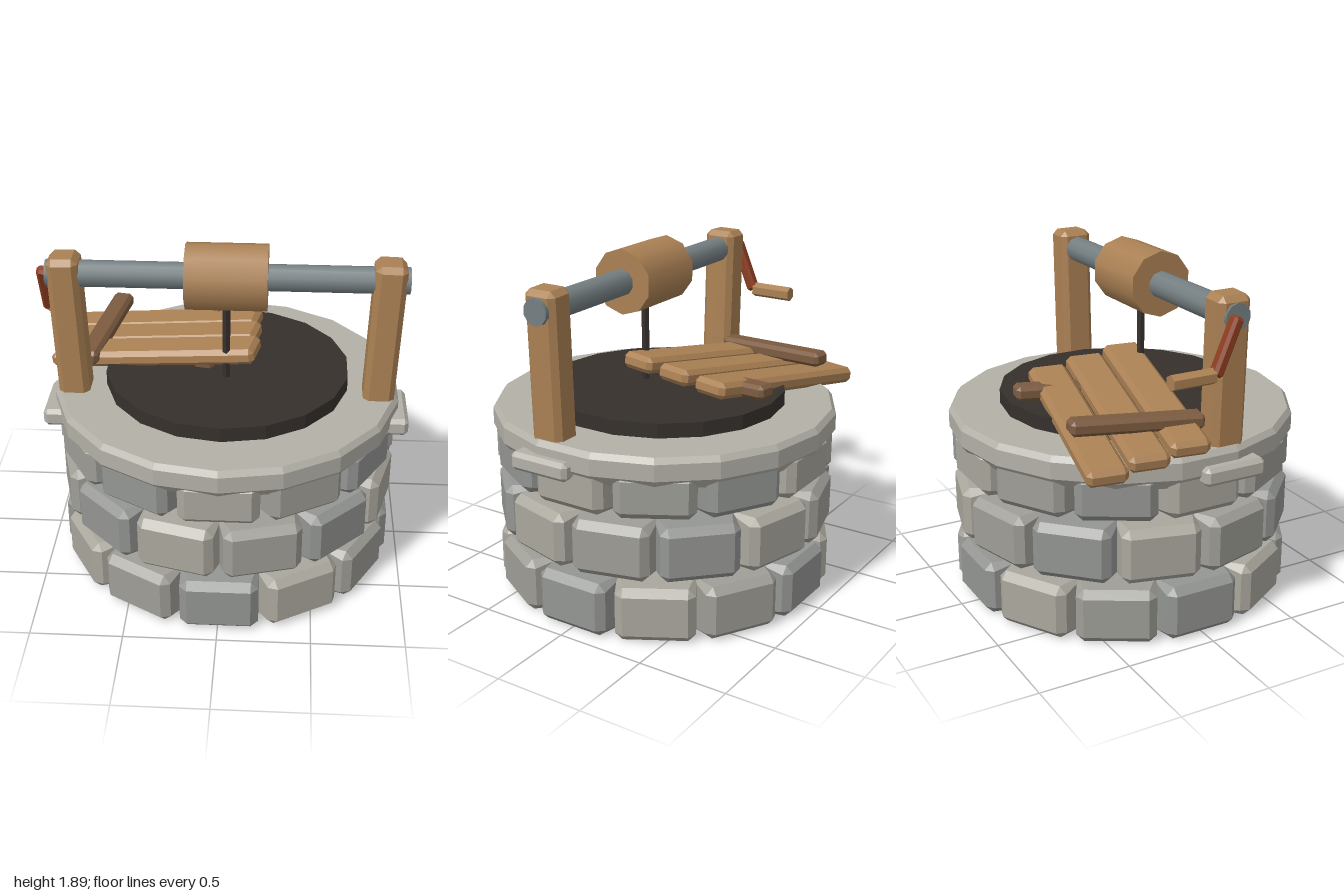
import * as THREE from 'three';
import { ConvexGeometry } from 'three/addons/geometries/ConvexGeometry.js';

const paint = (color, flatShading = true) => new THREE.MeshStandardMaterial({ color, flatShading });
const WOOD = paint(0xab8154), DARK_WOOD = paint(0x7c5b40), RED = paint(0x8c3d1f);
const ROUND_WOOD = paint(0xab8154, false), METAL = paint(0x757f82, false);
const BLACK = paint(0x36302c), SLAB = paint(0xb3b0a7);
const STONES = [paint(0x949693), paint(0xaaa79d), paint(0x9f9e97)];
const V = (x, y, z) => new THREE.Vector3(x, y, z);

// Box with its edges cut off by c; the back (-z) corners can stay square
function chamferBox(w, h, d, c, squareBack = false) {
  const pts = [];
  for (const x of [-w / 2, w / 2]) for (const y of [-h / 2, h / 2]) for (const z of [-d / 2, d / 2]) {
    const cut = squareBack && z < 0 ? 0 : c;
    const cx = Math.sign(x) * cut, cy = Math.sign(y) * cut, cz = Math.sign(z) * cut;
    if (cut) pts.push(V(x, y - cy, z - cz), V(x - cx, y, z - cz), V(x - cx, y - cy, z));
    else pts.push(V(x, y, z));
  }
  return new ConvexGeometry(pts);
}

export function createModel() {
  const model = new THREE.Group();
  model.name = 'well';
  const add = (name, geometry, material, x = 0, y = 0, z = 0) => {
    const m = new THREE.Mesh(geometry, material);
    m.name = name;
    m.position.set(x + 0.007, y, z);
    model.add(m);
    return m;
  };

  // Chamfered bar from a to b; side points along its width
  const bar = (name, a, b, h, w, c, material, side) => {
    const mid = a.clone().add(b).multiplyScalar(0.5);
    const m = add(name, chamferBox(a.distanceTo(b), h, w, c), material, mid.x, mid.y, mid.z);
    const X = b.clone().sub(a).normalize();
    const Y = side.clone().cross(X).normalize();
    m.quaternion.setFromRotationMatrix(new THREE.Matrix4().makeBasis(X, Y, X.clone().cross(Y)));
    return m;
  };

  // Cylinder lying along x
  const roller = (name, r, len, material) => {
    const g = new THREE.CylinderGeometry(r, r, len, 10, 1, false, Math.PI / 2);
    return add(name, g.rotateZ(Math.PI / 2), material, 0.003, 1.716, 0.13);
  };

  // Three staggered courses of twelve stones; the top one tucks under the rim
  [0.3, 0.3, 0.25].forEach((height, row) => {
    const stone = chamferBox(0.42, height, 0.235, 0.04, true);
    for (let i = 0; i < 12; i++) {
      const a = (i + (row % 2) / 2) * Math.PI / 6;
      const m = add('wallStone', stone, STONES[(i + row * 2) % 3],
        Math.sin(a) * 0.805, row * 0.346 + height / 2, Math.cos(a) * 0.805);
      m.rotation.y = a;
    }
  });

  // Rim slab and dark well mouth
  const rim = [[0.62, 0.86], [0.905, 0.86], [0.953, 0.92], [0.953, 1.01], [0.93, 1.04], [0.62, 1.04], [0.62, 0.86]];
  add('rimSlab', new THREE.LatheGeometry(rim.map(([x, y]) => new THREE.Vector2(x, y)), 18), SLAB);
  add('wellMouth', new THREE.CylinderGeometry(0.67, 0.67, 0.12, 18), BLACK, 0, 1.06, 0);

  // Posts leaning slightly outwards, with a stone bracket below each
  for (const s of [-1, 1]) {
    bar('post', V(s * 0.82, 0.84, 0.13), V(s * 0.852, 1.82, 0.13), 0.167, 0.187, 0.03, WOOD, V(0, 0, 1));
    add('bracketStone', chamferBox(0.16, 0.1, 0.355, 0.022), SLAB, s * 0.911, 0.917, 0.125);
  }

  // Windlass and rope
  roller('axle', 0.072, 1.9, METAL);
  roller('drum', 0.179, 0.43, ROUND_WOOD);
  add('rope', new THREE.CylinderGeometry(0.023, 0.023, 0.6, 6), BLACK, 0, 1.4, 0.13);

  // Crank arm and grip
  bar('crankArm', V(-0.969, 1.73, 0.11), V(-0.969, 1.445, -0.01), 0.06, 0.068, 0.015, RED, V(1, 0, 0));
  const grip = new THREE.CylinderGeometry(0.042, 0.042, 0.24, 6).rotateX(Math.PI / 2);
  add('crankGrip', grip, WOOD, -0.969, 1.45, -0.14);

  // Tilted lid: three planks and two cross battens
  const half = V(0.57, 0.088, 0.11), across = V(-0.19, 0.02, 0.98);
  for (let i = 0; i < 3; i++) {
    const c = V(-0.405, 1.113 + i * 0.03, -0.485 + i * 0.23);
    bar('lidPlank', c.clone().sub(half), c.clone().add(half), 0.09, 0.212, 0.025, WOOD, across);
  }
  for (const [x, y] of [[0, 0], [0.64, -0.015]]) {
    bar('lidBatten', V(x - 0.65, y + 1.193, -0.645), V(x - 0.775, y + 1.155, 0.05),
      0.08, 0.115, 0.02, DARK_WOOD, V(-1, 0, -0.18));
  }
  return model;
}
